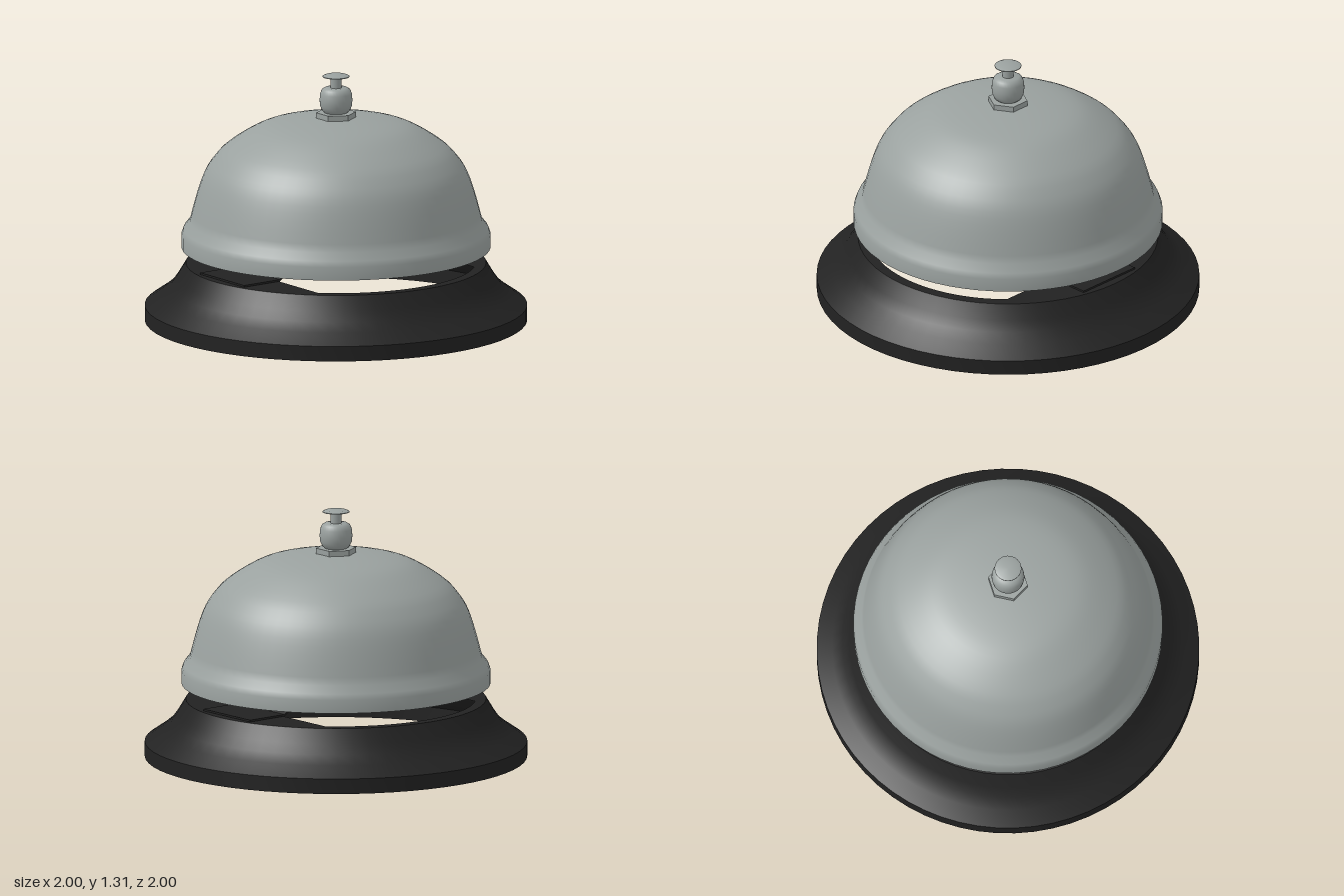
import * as THREE from 'three';
import { toCreasedNormals } from 'three/addons/utils/BufferGeometryUtils.js';

export function createModel() {
  const group = new THREE.Group();
  group.name = 'deskBell';
  const steel = new THREE.MeshStandardMaterial({ color: 0x9aa19f, side: THREE.DoubleSide });
  steel.name = 'brushed steel';
  const black = new THREE.MeshStandardMaterial({ color: 0x222222, side: THREE.DoubleSide });
  black.name = 'black enamel';

  const add = (name, geometry, material) => {
    const mesh = new THREE.Mesh(geometry, material);
    mesh.name = name;
    group.add(mesh);
    return mesh;
  };
  // Profiles run from bottom to top as [radius, y]
  const lathe = (profile, segments, crease) => toCreasedNormals(
    new THREE.LatheGeometry(profile.map(([r, y]) => new THREE.Vector2(r, y)), segments), crease);

  // Flared base skirt, open underneath
  add('baseSkirt', lathe([[1, 0], [1, 0.08], [0.92, 0.135], [0.865, 0.18], [0.83, 0.23], [0.785, 0.305]], 64, 0.5), black);

  // Base top: ring whose round opening is cut straight on both sides
  const ring = new THREE.Shape().absarc(0, 0, 0.785, 0, Math.PI * 2, false);
  const a = Math.acos(0.51 / 0.73);
  const opening = new THREE.Path();
  opening.absarc(0, 0, 0.73, a, Math.PI - a, false);
  opening.absarc(0, 0, 0.73, Math.PI + a, Math.PI * 2 - a, false);
  opening.closePath();
  ring.holes.push(opening);
  const top = new THREE.ShapeGeometry(ring, 32);
  top.rotateX(-Math.PI / 2);
  add('baseTop', top, black).position.y = 0.305;

  // Bent support straps rising into the bell
  const strap = new THREE.Shape([
    [0.745, 0.307], [0.745, 0.317], [0.512, 0.317], [0.24, 0.507], [0.234, 0.498], [0.509, 0.307],
  ].map(([x, y]) => new THREE.Vector2(x, y)));
  const strapGeometry = new THREE.ExtrudeGeometry(strap, { depth: 0.38, bevelEnabled: false });
  strapGeometry.translate(0, 0, -0.19);
  add('leftStrap', strapGeometry, black);
  add('rightStrap', strapGeometry, black).rotation.y = Math.PI;

  // Bell dome with a flared lip
  const dome = new THREE.SplineCurve([
    [0.765, 0.53], [0.725, 0.68], [0.685, 0.79], [0.635, 0.865], [0.57, 0.93], [0.44, 1.013],
    [0.33, 1.053], [0.17, 1.076], [0, 1.085],
  ].map(([x, y]) => new THREE.Vector2(x, y))).getPoints(24).map((p) => [Math.max(p.x, 0), p.y]);
  add('bell', lathe([[0.808, 0.39], [0.808, 0.46], [0.797, 0.49], ...dome], 64, 0.6), steel);

  // Hex nut, corners toward front and back
  add('nut', toCreasedNormals(new THREE.CylinderGeometry(0.105, 0.105, 0.035, 6), 0.5), steel).position.y = 1.0925;

  // Rounded collar
  add('collar', lathe([[0.055, 1.105], [0.072, 1.12], [0.083, 1.145], [0.086, 1.175], [0.083, 1.21],
    [0.074, 1.232], [0.058, 1.242], [0, 1.242]], 32, 0.9), steel);

  // Plunger stem and push button
  add('stem', new THREE.CylinderGeometry(0.03, 0.03, 0.06, 24), steel).position.y = 1.267;
  add('button', lathe([[0, 1.292], [0.03, 1.292], [0.07, 1.3], [0.07, 1.304], [0.055, 1.31], [0, 1.31]], 32, 0.4), steel);

  return group;
}
